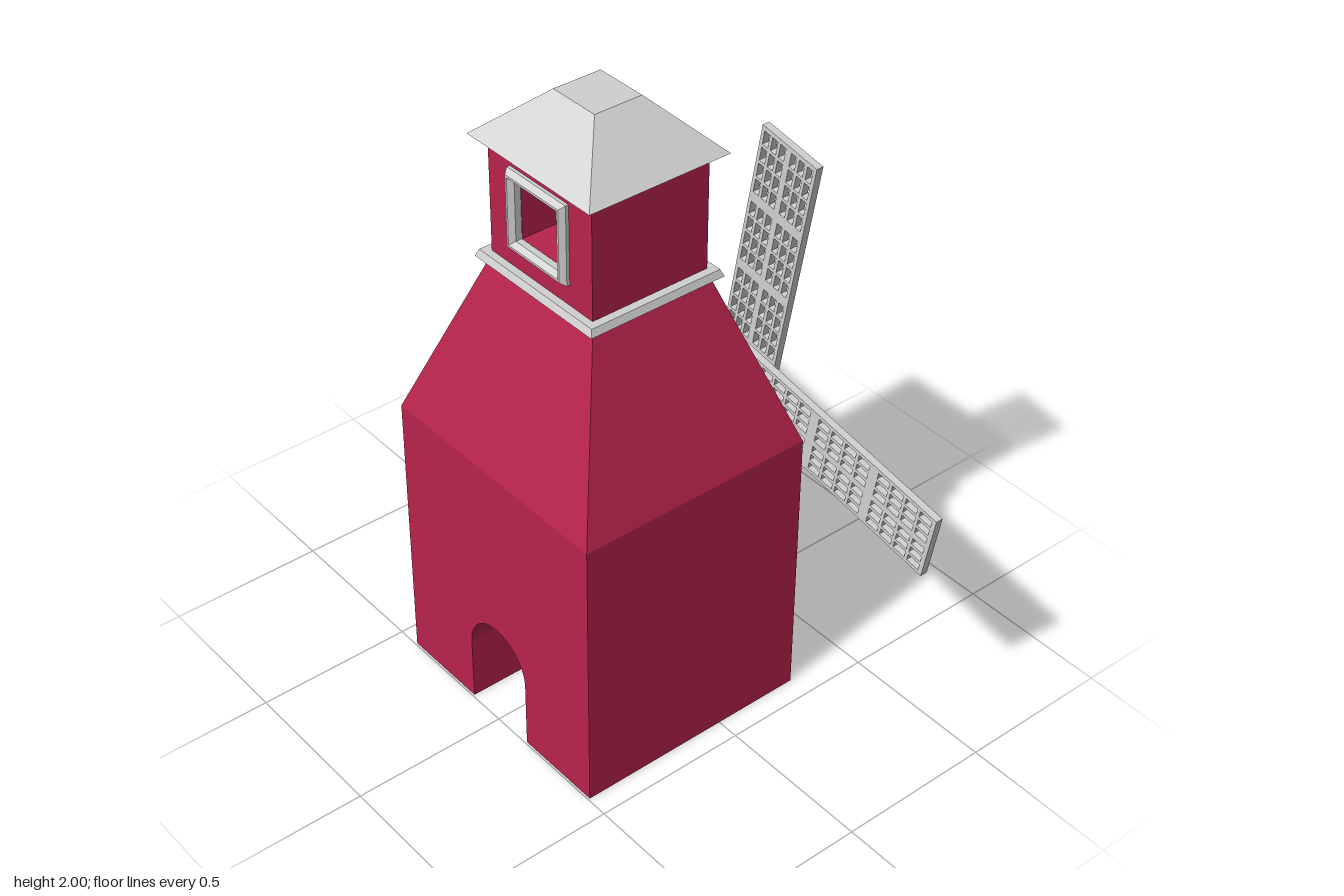
import * as THREE from 'three';

const red = new THREE.MeshStandardMaterial({ color: 0xb8234b });
red.name = 'barnRed';
const grey = new THREE.MeshStandardMaterial({ color: 0xd0d0d0 });
grey.name = 'paleGrey';

const CX = -0.104; // tower axis

function add(parent, name, geometry, material, x = 0, y = 0, z = 0) {
  const mesh = new THREE.Mesh(geometry, material);
  mesh.name = name;
  mesh.position.set(x, y, z);
  parent.add(mesh);
  return mesh;
}

// Rectangular frustum from half sizes at the bottom and the top
function frustum(y0, [bx, bz], y1, [tx, tz]) {
  const g = new THREE.BoxGeometry(2, 2, 2);
  const p = g.attributes.position;
  for (let i = 0; i < p.count; i++) {
    const top = p.getY(i) > 0;
    p.setXYZ(i, p.getX(i) * (top ? tx : bx), top ? y1 : y0, p.getZ(i) * (top ? tz : bz));
  }
  g.computeVertexNormals();
  return g;
}

// Rectangle as a shape or a hole
function rect(path, x0, y0, x1, y1) {
  path.moveTo(x0, y0);
  path.lineTo(x1, y0);
  path.lineTo(x1, y1);
  path.lineTo(x0, y1);
  path.closePath();
  return path;
}

// Extrusion whose depth runs along x
function extrudeX(shape, depth, options = {}) {
  return new THREE.ExtrudeGeometry(shape, { depth, bevelEnabled: false, curveSegments: 16, ...options })
    .translate(0, 0, -depth / 2).rotateY(Math.PI / 2);
}

// Two opposite latticed sails cut from one board
function sailGeometry() {
  const half = 0.113, length = 0.84, thick = 0.024, bar = 0.011;
  const board = rect(new THREE.Shape(), -length, -half, length, half);
  const bays = [[0.105, 0.318], [0.354, 0.57], [0.606, 0.825]];
  const rows = 4, cols = 3, inner = 0.011, outer = half - 0.012;
  for (const side of [-1, 1]) for (const [a, b] of bays) for (const edge of [-1, 1]) {
    const w = (b - a + bar) / rows, h = (outer - inner + bar) / cols;
    for (let r = 0; r < rows; r++) for (let c = 0; c < cols; c++) {
      const x = a + r * w, y = inner + c * h;
      board.holes.push(rect(new THREE.Path(),
        side * x, edge * y, side * (x + w - bar), edge * (y + h - bar)));
    }
  }
  return extrudeX(board, thick);
}

export function createModel() {
  const model = new THREE.Group();
  model.name = 'windmill';

  // Tower base with an arched passage
  const wall = new THREE.Shape();
  wall.moveTo(-0.427, 0);
  wall.lineTo(-0.13, 0);
  wall.lineTo(-0.13, 0.22);
  wall.absarc(0, 0.22, 0.13, Math.PI, 0, true);
  wall.lineTo(0.13, 0);
  wall.lineTo(0.427, 0);
  wall.lineTo(0.427, 0.92);
  wall.lineTo(-0.427, 0.92);
  wall.closePath();
  add(model, 'towerBase', extrudeX(wall, 0.78), red, CX);
  add(model, 'towerTaper', frustum(0.92, [0.39, 0.427], 1.47, [0.197, 0.22]), red, CX);
  add(model, 'collar', frustum(1.458, [0.231, 0.255], 1.48, [0.222, 0.246]), grey, CX);

  // Lantern room with a window opening straight through
  const room = rect(new THREE.Shape(), -0.22, 1.475, 0.22, 1.85);
  room.holes.push(rect(new THREE.Path(), -0.096, 1.574, 0.096, 1.766));
  add(model, 'topRoom', extrudeX(room, 0.396), red, CX);

  // Bevelled window frames
  const frame = rect(new THREE.Shape(), -0.113, -0.113, 0.113, 0.113);
  frame.holes.push(rect(new THREE.Path(), -0.106, -0.106, 0.106, 0.106));
  const frameGeometry = extrudeX(frame, 0.02,
    { bevelEnabled: true, bevelThickness: 0.016, bevelSize: 0.012, bevelSegments: 1 });
  for (const side of [-1, 1]) {
    add(model, side > 0 ? 'leftWindowFrame' : 'rightWindowFrame',
      frameGeometry, grey, CX + side * 0.198, 1.67);
  }

  // Roof
  add(model, 'roof', frustum(1.845, [0.237, 0.26], 2, [0.079, 0.086]), grey, CX);

  // Shaft and two crossed pairs of sails
  const rotor = new THREE.Group();
  rotor.name = 'rotor';
  rotor.position.set(0, 0.867, 0);
  model.add(rotor);
  add(rotor, 'shaft', new THREE.CylinderGeometry(0.03, 0.03, 0.217, 20).rotateZ(Math.PI / 2), grey, 0.379);
  const sails = sailGeometry();
  const tilt = THREE.MathUtils.degToRad(10.3);
  add(rotor, 'crossSails', sails, grey, 0.418).rotation.x = tilt;
  add(rotor, 'uprightSails', sails, grey, 0.459).rotation.x = tilt + Math.PI / 2;

  return model;
}
